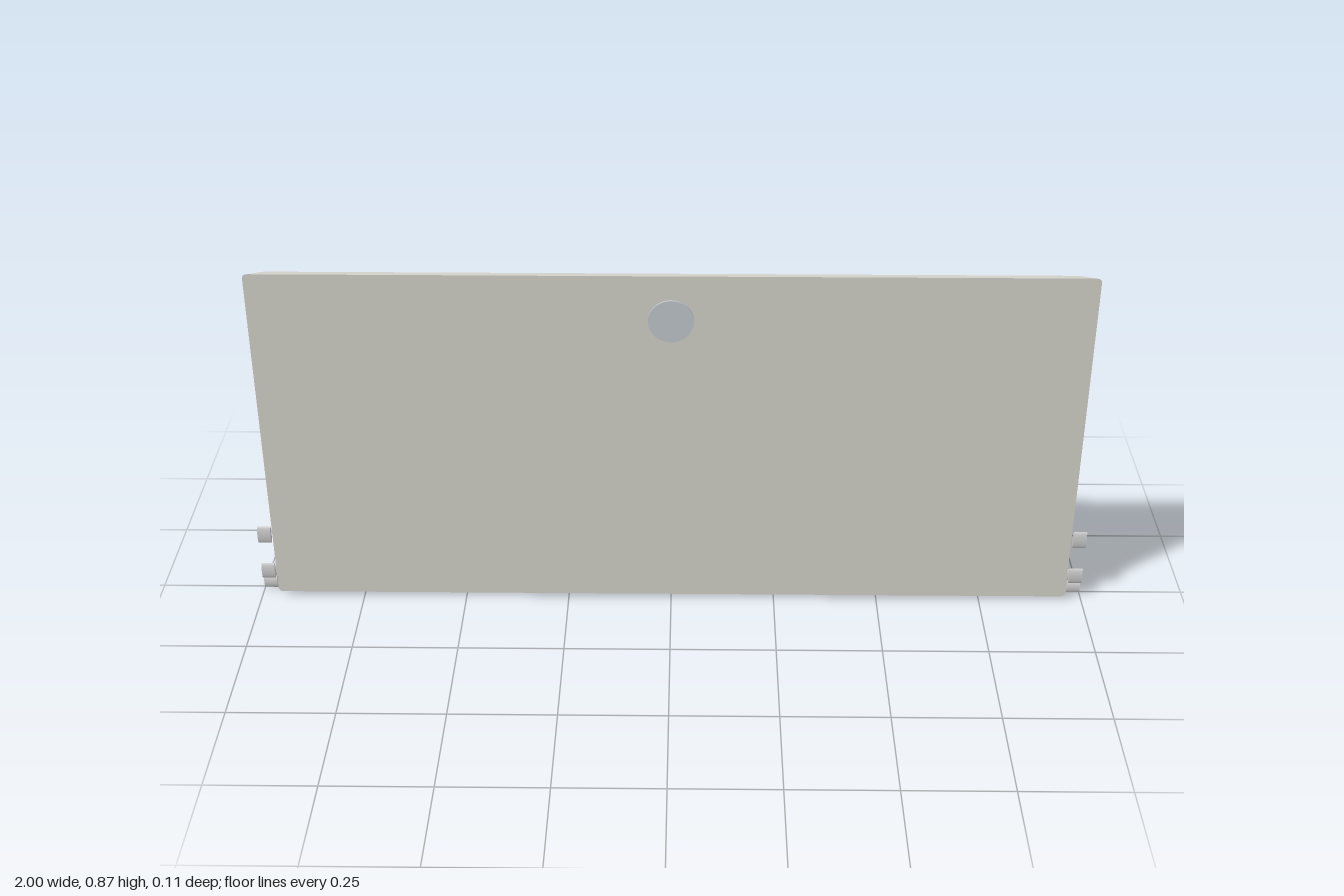
import * as THREE from 'three';

const panelMat = new THREE.MeshStandardMaterial({ color: 0xd2d0c8, side: THREE.DoubleSide });
const knobMat = new THREE.MeshStandardMaterial({ color: 0xc0c6cd });
const greyMat = new THREE.MeshStandardMaterial({ color: 0xcccccc });

// panel extents
const W = 0.96, Y0 = 0.01, Y1 = 0.87, FRONT = 0.036, BACK = 0.022;
const ROUND = 0.012, CUT = 0.048;

function add(group, name, geometry, material) {
  const mesh = new THREE.Mesh(geometry, material);
  mesh.name = name;
  group.add(mesh);
  return mesh;
}

// rounded front sheet outline
function roundedSheet() {
  const s = new THREE.Shape();
  s.moveTo(-W + ROUND, Y0);
  s.lineTo(W - ROUND, Y0);
  s.quadraticCurveTo(W, Y0, W, Y0 + ROUND);
  s.lineTo(W, Y1 - ROUND);
  s.quadraticCurveTo(W, Y1, W - ROUND, Y1);
  s.lineTo(-W + ROUND, Y1);
  s.quadraticCurveTo(-W, Y1, -W, Y1 - ROUND);
  s.lineTo(-W, Y0 + ROUND);
  s.quadraticCurveTo(-W, Y0, -W + ROUND, Y0);
  return new THREE.ShapeGeometry(s, 6);
}

// back sheet with its corners cut off
function cutSheet() {
  const pts = [
    [-W + CUT, Y0], [W - CUT, Y0], [W, Y0 + CUT], [W, Y1 - CUT],
    [W - CUT, Y1], [-W + CUT, Y1], [-W, Y1 - CUT], [-W, Y0 + CUT],
  ].map(([x, y]) => new THREE.Vector2(x, y));
  return new THREE.ShapeGeometry(new THREE.Shape(pts));
}

// flange narrowing from the front edge to the back edge
function flange(halfLength) {
  const a = halfLength - ROUND, b = halfLength - CUT;
  const s = new THREE.Shape([[-a, FRONT], [a, FRONT], [b, BACK], [-b, BACK]]
    .map(([x, z]) => new THREE.Vector2(x, -z)));
  return new THREE.ShapeGeometry(s).rotateX(-Math.PI / 2);
}

export function createModel() {
  const model = new THREE.Group();
  model.name = 'flapDoor';

  // door panel
  const panel = new THREE.Group();
  panel.name = 'panel';
  model.add(panel);
  add(panel, 'frontSheet', roundedSheet(), panelMat).position.z = FRONT;
  add(panel, 'backSheet', cutSheet().rotateY(Math.PI).translate(0, 0, BACK), panelMat);
  add(panel, 'topFlange', flange(W), panelMat).position.y = Y1;
  add(panel, 'bottomFlange', flange(W), panelMat).position.y = Y0;
  for (const side of [-1, 1]) {
    const f = add(panel, side > 0 ? 'leftFlange' : 'rightFlange',
      flange((Y1 - Y0) / 2).rotateZ(Math.PI / 2), panelMat);
    f.position.set(side * W, (Y0 + Y1) / 2, 0);
  }

  // round pull knob: neck and disc
  const knob = new THREE.Group();
  knob.name = 'knob';
  knob.position.set(0, 0.766, 0);
  model.add(knob);
  const disc = (r, z0, z1) =>
    new THREE.CylinderGeometry(r, r, z1 - z0, 48).rotateX(Math.PI / 2).translate(0, 0, (z0 + z1) / 2);
  add(knob, 'knobNeck', disc(0.037, FRONT, 0.05), knobMat);
  add(knob, 'knobDisc', disc(0.052, 0.05, 0.055), knobMat);

  // hinge fins and oval pins at both lower corners
  const pins = [ // y, z, half height, half depth
    [0.162, 0.016, 0.023, 0.006],
    [0.058, 0.016, 0.021, 0.006],
    [0.017, 0.002, 0.017, 0.008],
    [0.017, -0.047, 0.017, 0.008],
  ];
  for (const side of [-1, 1]) {
    const hinge = new THREE.Group();
    hinge.name = side > 0 ? 'leftHinge' : 'rightHinge';
    model.add(hinge);
    for (const x of [0.936, 0.953]) {
      const s = new THREE.Shape([[BACK, 0.13], [BACK, 0.03], [0.014, 0.04], [0.011, 0.06]]
        .map(([z, y]) => new THREE.Vector2(-z, y)));
      const geo = new THREE.ExtrudeGeometry(s, { depth: 0.003, bevelEnabled: false });
      geo.translate(0, 0, -0.0015).rotateY(Math.PI / 2);
      add(hinge, 'hingeFin', geo, greyMat).position.x = side * x;
    }
    for (const [y, z, ry, rz] of pins) {
      const geo = new THREE.CylinderGeometry(1, 1, 0.032, 24).rotateZ(Math.PI / 2).scale(1, ry, rz);
      add(hinge, 'hingePin', geo, greyMat).position.set(side * 0.984, y, z);
    }
  }
  return model;
}
